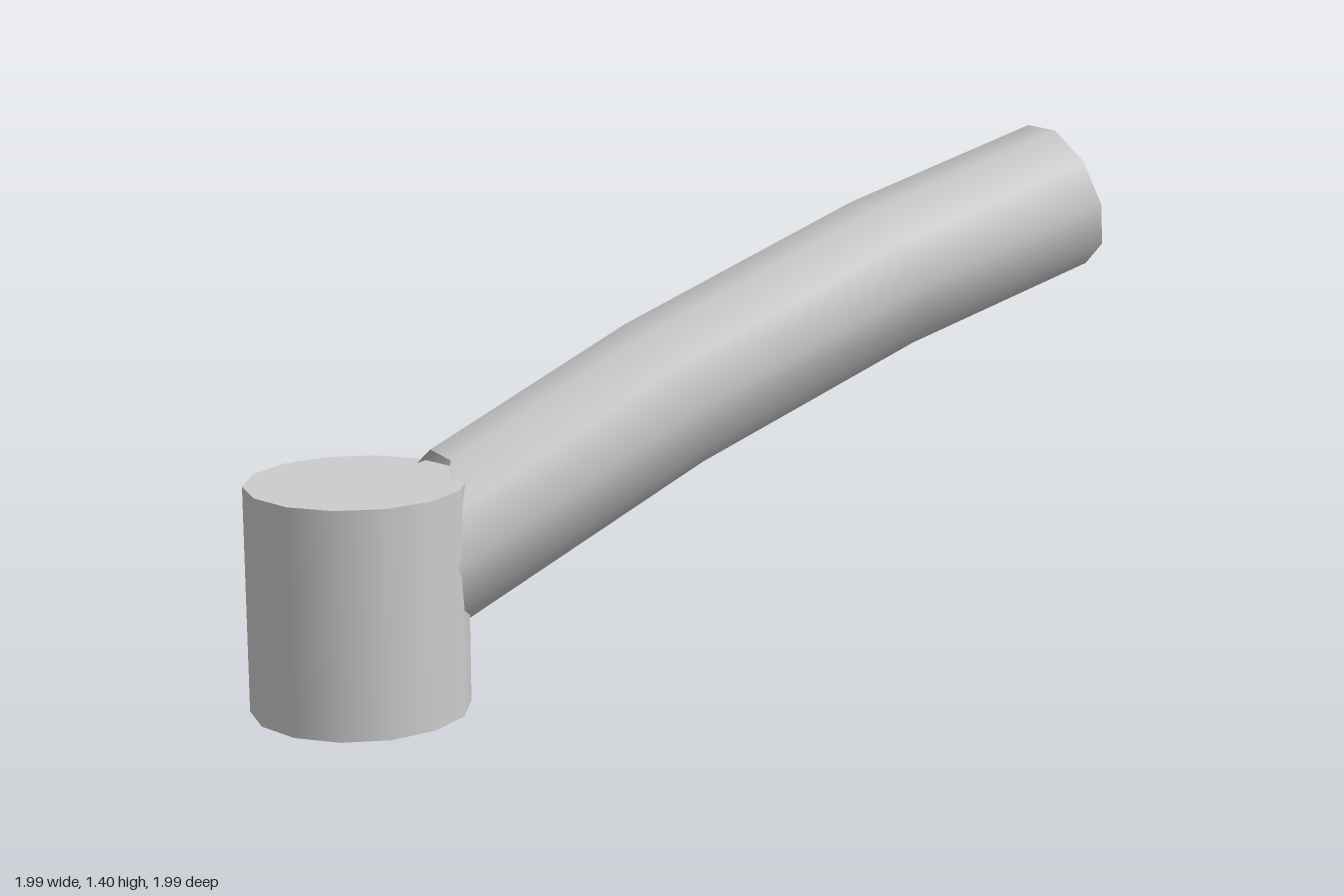
import * as THREE from 'three';

const SIDES = 10;
const RADIUS = 0.217;

// Rings along the arm: s = horizontal distance along the diagonal, y = height, tilt = slope angle
const RINGS = [
  { s: -0.1, y: 0.75, tilt: 0.42 },
  { s: 0.594, y: 1.025, tilt: 0.32 },
  { s: 1.188, y: 1.205, tilt: 0.3 },
];

function ringPoints(ring) {
  return Array.from({ length: SIDES }, (_, i) => {
    const a = (i / SIDES) * Math.PI * 2;
    const up = RADIUS * Math.sin(a);
    return {
      side: RADIUS * Math.cos(a),
      up,
      s: ring.s - up * Math.sin(ring.tilt),
      y: ring.y + up * Math.cos(ring.tilt),
    };
  });
}

// Open, gently bent tube running diagonally away from the base
function tubeGeometry() {
  const rings = RINGS.map(ringPoints);
  // Slanted open end, run back from the first ring into the base
  const start = rings[0].map((p) => {
    const s = Math.max(-0.9, -0.765 - (0.206 - p.up) * 0.75);
    return { side: p.side, s, y: p.y + (s - p.s) * 0.49 };
  });
  rings.unshift(start);

  const positions = [];
  for (const ring of rings) {
    for (const p of ring) {
      positions.push((p.side + p.s) * Math.SQRT1_2, p.y, (p.side - p.s) * Math.SQRT1_2);
    }
  }
  const index = [];
  for (let r = 0; r < rings.length - 1; r++) {
    for (let i = 0; i < SIDES; i++) {
      const a = r * SIDES + i;
      const b = r * SIDES + ((i + 1) % SIDES);
      index.push(a, a + SIDES, b, b, a + SIDES, b + SIDES);
    }
  }
  const geometry = new THREE.BufferGeometry();
  geometry.setAttribute('position', new THREE.Float32BufferAttribute(positions, 3));
  geometry.setIndex(index);
  geometry.computeVertexNormals();
  return geometry;
}

export function createModel() {
  const group = new THREE.Group();
  group.name = 'bentPipeOnBase';

  const grey = new THREE.MeshStandardMaterial({ color: 0xcccccc, side: THREE.DoubleSide });
  grey.name = 'grey';

  // Upright cylindrical base
  const base = new THREE.Mesh(new THREE.CylinderGeometry(0.291, 0.291, 0.61, 14), grey);
  base.name = 'base';
  base.rotation.y = Math.PI / 2;
  base.position.set(-0.709, 0.305, 0.714);
  group.add(base);

  const pipe = new THREE.Mesh(tubeGeometry(), grey);
  pipe.name = 'pipe';
  group.add(pipe);

  return group;
}
